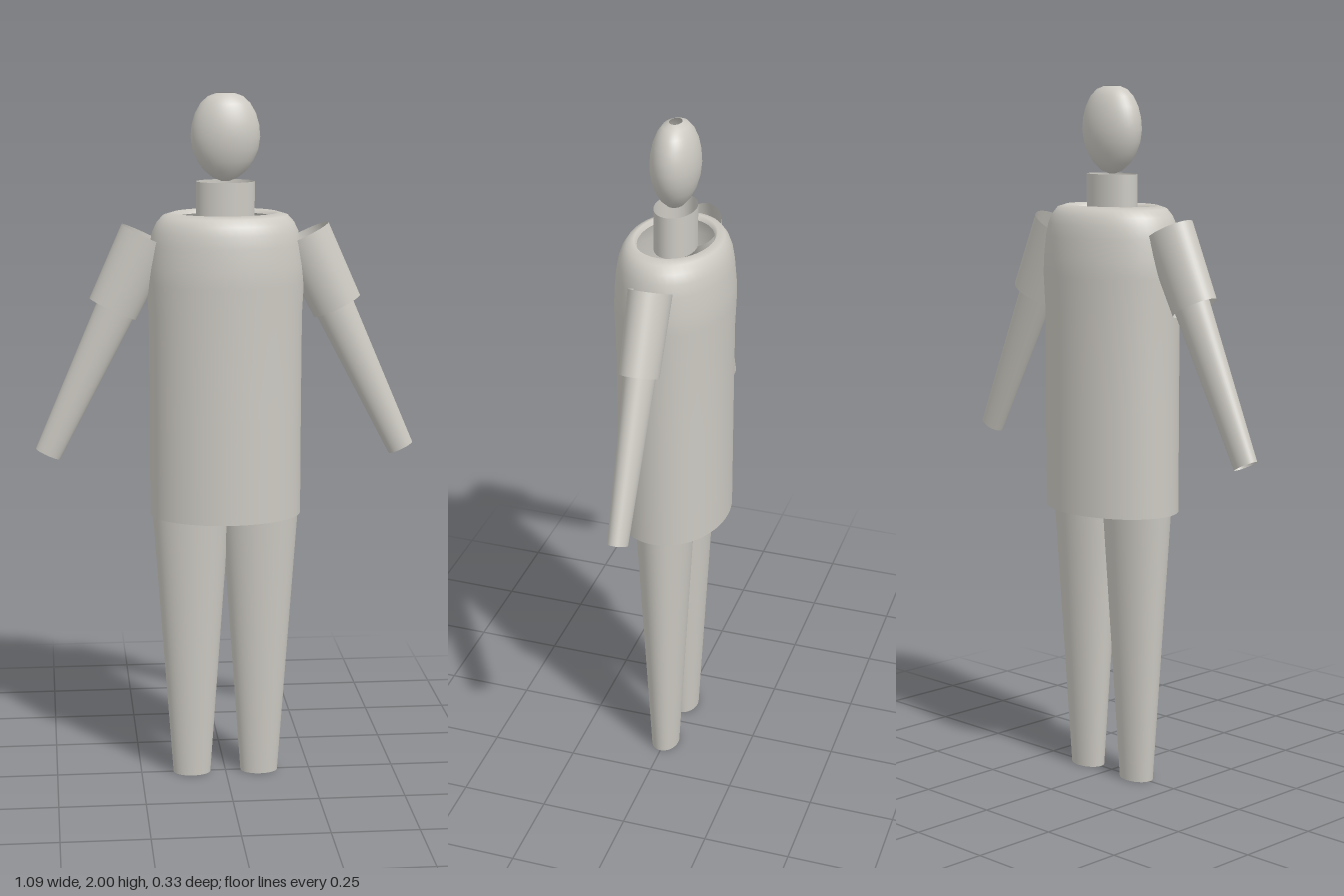
import * as THREE from 'three';

export function createModel() {
  const model = new THREE.Group();
  model.name = 'figure';
  const clay = new THREE.MeshStandardMaterial({ color: 0xccc9c2, side: THREE.DoubleSide });
  clay.name = 'warm grey';

  // Open shell of revolution with an oval section; profile is [radius, height] from the bottom up
  function shell(name, profile, depth) {
    const points = profile.map(([r, y]) => new THREE.Vector2(r, y));
    const geometry = new THREE.LatheGeometry(points, 48);
    geometry.scale(1, 1, depth);
    const mesh = new THREE.Mesh(geometry, clay);
    mesh.name = name;
    model.add(mesh);
    return mesh;
  }

  // Tapered open limb between two points in the x-y plane
  function limb(name, from, to, r0, r1, depth) {
    const dx = to[0] - from[0], dy = to[1] - from[1];
    const mesh = shell(name, [[r0, 0], [r1, Math.hypot(dx, dy)]], depth);
    mesh.position.set(from[0], from[1], 0);
    mesh.rotation.z = Math.atan2(-dx, dy);
  }

  // Torso: straight tunic, rounded shoulders, collar turned slightly inward
  shell('torso', [
    [0.218, 0.795], [0.218, 1.1], [0.219, 1.38], [0.224, 1.47], [0.222, 1.52],
    [0.215, 1.58], [0.207, 1.615], [0.195, 1.64], [0.177, 1.66], [0.15, 1.668], [0.14, 1.655],
  ], 0.732);

  // Neck
  shell('neck', [[0.083, 1.635], [0.083, 1.755]], 0.7);

  // Egg-shaped head with a small opening at the crown
  shell('head', [
    [0.012, 1.756], [0.035, 1.765], [0.06, 1.785], [0.08, 1.813], [0.093, 1.845], [0.098, 1.879],
    [0.095, 1.912], [0.086, 1.944], [0.07, 1.972], [0.05, 1.991], [0.025, 2.0],
  ], 0.69);

  // Arms and legs, mirrored
  for (const [side, s] of [['left', 1], ['right', -1]]) {
    limb(side + 'UpperArm', [s * 0.32, 1.397], [s * 0.221, 1.603], 0.073, 0.08, 0.73);
    limb(side + 'Forearm', [s * 0.511, 0.979], [s * 0.303, 1.415], 0.038, 0.058, 0.73);
    limb(side + 'Leg', [s * 0.1, 0], [s * 0.1, 0.85], 0.055, 0.115, 0.73);
  }
  return model;
}
